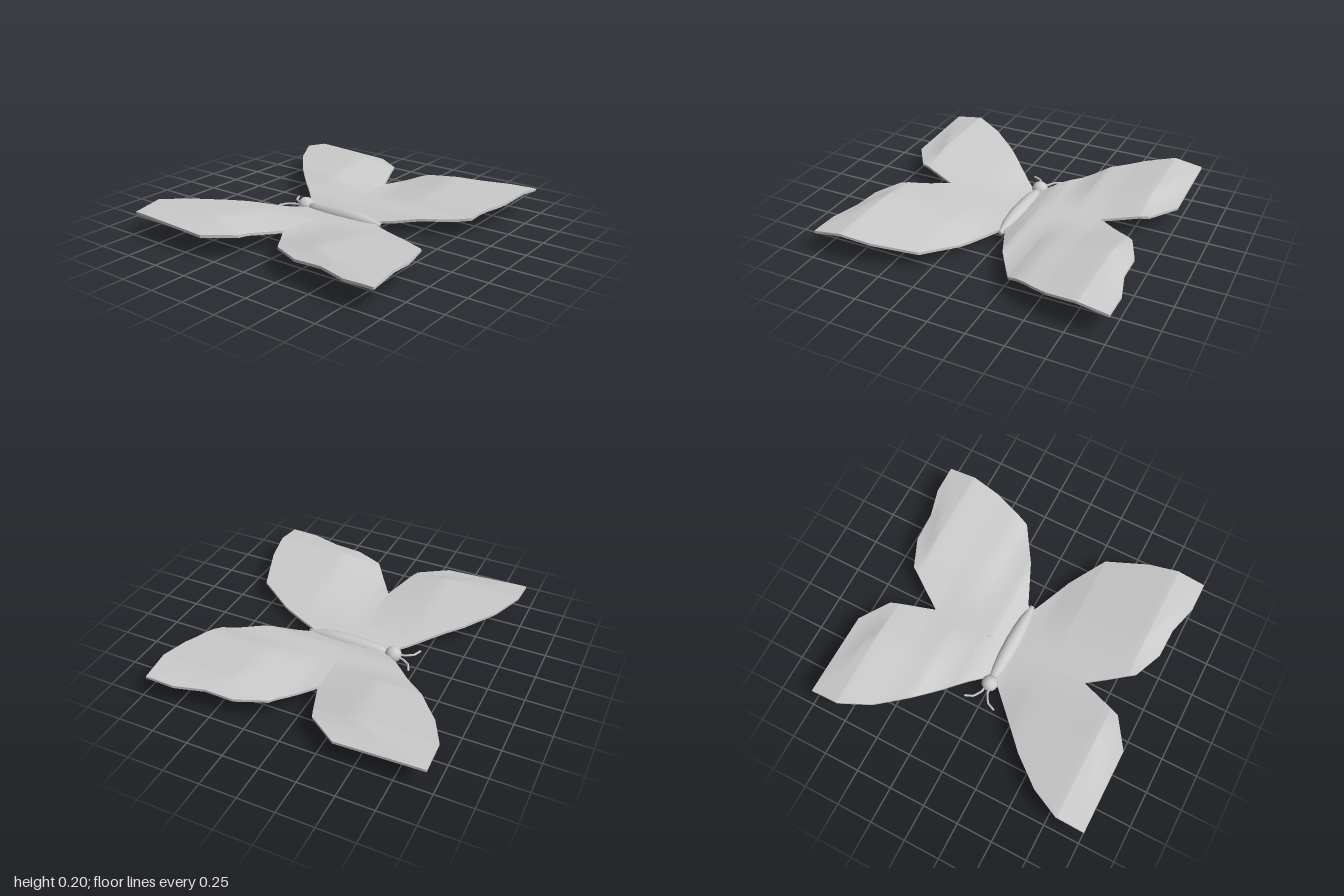
import * as THREE from 'three';

const grey = new THREE.MeshStandardMaterial({ color: 0xcccccc });
const THICK = 0.018;

// piecewise linear lookup through [x, value] points
function lerpAt(points, x) {
  for (let i = 1; i < points.length; i++) {
    const [x0, v0] = points[i - 1], [x1, v1] = points[i];
    if (x <= x1) return v0 + (v1 - v0) * (x - x0) / (x1 - x0);
  }
  return points[points.length - 1][1];
}

// wing outlines: z of each edge against distance from the body
const foreWing = {
  lead: [[0, -0.28], [0.07, -0.34], [0.2, -0.475], [0.4, -0.685], [0.6, -0.85], [0.8, -0.95], [1, -0.95]],
  trail: [[0, -0.05], [0.57, -0.05], [0.865, -0.16], [1, -0.36]],
};
const hindWing = {
  lead: [[0, -0.05], [0.57, -0.05], [0.855, 0.15], [0.94, 0.35], [0.945, 0.55], [1, 0.75]],
  trail: [[0, 0.26], [0.03, 0.3], [0.15, 0.57], [0.31, 0.82], [0.6, 0.92], [0.8, 0.95], [1, 0.95]],
};

// wing heights: a crest far from the middle, a valley along the notch
const crest = {
  1: [[0, 0.07], [0.06, 0.085], [0.14, 0.12], [0.27, 0.12], [0.4, 0.165], [0.52, 0.17], [0.8, 0.205], [1, 0.175]],
  [-1]: [[0, 0.065], [0.1, 0.07], [0.15, 0.083], [0.3, 0.125], [0.8, 0.205], [1, 0.175]],
};
const valley = {
  1: [[0, 0.07], [0.14, 0.115], [0.57, 0.12], [0.86, 0.145], [1, 0.14]],
  [-1]: [[0, 0.065], [0.14, 0.08], [0.57, 0.12], [0.86, 0.145], [1, 0.14]],
};
function wingHeight(side, x, z) {
  const reach = 0.4 + 0.5 * THREE.MathUtils.smoothstep(x, 0.8, 1);
  const k = THREE.MathUtils.clamp((Math.abs(z) - 0.05) / (reach - 0.05), 0, 1);
  return THREE.MathUtils.lerp(lerpAt(valley[side], x), lerpAt(crest[side], x), k);
}

// surface from a grid of points: rows[i][j]
function gridSurface(rows, flip) {
  const n = rows[0].length, index = [];
  for (let i = 0; i < rows.length - 1; i++) {
    for (let j = 0; j < n - 1; j++) {
      const a = i * n + j, b = a + 1, c = a + n, d = c + 1;
      index.push(...(flip ? [a, c, b, b, c, d] : [a, b, c, b, d, c]));
    }
  }
  const geo = new THREE.BufferGeometry();
  geo.setAttribute('position', new THREE.Float32BufferAttribute(rows.flat(2), 3));
  geo.setIndex(index);
  geo.computeVertexNormals();
  return geo;
}

// one thin wing: top skin, bottom skin and a rim
function makeWing(name, side, outline) {
  const knots = [...outline.lead, ...outline.trail].map(p => p[0]);
  for (let i = 0; i <= 16; i++) knots.push(i / 16);
  const xs = [...new Set(knots)].sort((a, b) => a - b);
  const rowCount = 16;
  const skin = drop => xs.map(x => {
    const z0 = lerpAt(outline.lead, x), z1 = lerpAt(outline.trail, x), row = [];
    for (let j = 0; j <= rowCount; j++) {
      const z = z0 + (z1 - z0) * j / rowCount;
      row.push([side * x, wingHeight(side, x, z) - drop, z]);
    }
    return row;
  });
  const top = skin(0), bottom = skin(THICK), mirrored = side < 0;
  const last = xs.length - 1;
  const rim = (edge, flip) => gridSurface([edge(top), edge(bottom)], flip).toNonIndexed();
  const parts = {
    Top: gridSurface(top, mirrored),
    Underside: gridSurface(bottom, !mirrored),
    LeadingRim: rim(g => g.map(r => r[0]), mirrored),
    TrailingRim: rim(g => g.map(r => r[rowCount]), !mirrored),
    TipRim: rim(g => g[last], mirrored),
  };
  const wing = new THREE.Group();
  wing.name = name;
  for (const [part, geo] of Object.entries(parts)) {
    if (part.endsWith('Rim')) geo.computeVertexNormals();
    const mesh = new THREE.Mesh(geo, grey);
    mesh.name = name + part;
    // rims are thin strips
    if (part.endsWith('Rim')) mesh.material = rimMaterial;
    wing.add(mesh);
  }
  return wing;
}
const rimMaterial = new THREE.MeshStandardMaterial({ color: 0xcccccc, side: THREE.DoubleSide });

export function createModel() {
  const model = new THREE.Group();
  model.name = 'butterfly';
  const add = (name, geo) => {
    const mesh = new THREE.Mesh(geo, grey);
    mesh.name = name;
    model.add(mesh);
    return mesh;
  };

  // tapered body, lying along z with the tail at +z
  const profile = [[0, -0.29], [0.03, -0.285], [0.043, -0.22], [0.053, -0.12], [0.057, 0], [0.053, 0.1],
    [0.043, 0.19], [0.022, 0.27], [0.018, 0.3], [0, 0.303]].map(p => new THREE.Vector2(...p));
  const body = add('body', new THREE.LatheGeometry(profile, 14));
  body.rotation.x = Math.PI / 2;
  body.position.y = 0.058;

  // head
  add('head', new THREE.SphereGeometry(0.057, 16, 12)).position.set(0, 0.065, -0.33);

  for (const side of [1, -1]) {
    const label = side > 0 ? 'left' : 'right';
    model.add(makeWing(label + 'ForeWing', side, foreWing));
    model.add(makeWing(label + 'HindWing', side, hindWing));

    // bent antenna
    const path = new THREE.CurvePath();
    const pts = [[0.015, -0.36], [0.02, -0.405], [0.055, -0.46], [0.108, -0.483]]
      .map(([x, z]) => new THREE.Vector3(side * x, 0.062, z));
    for (let i = 1; i < pts.length; i++) path.add(new THREE.LineCurve3(pts[i - 1], pts[i]));
    add(label + 'Antenna', new THREE.TubeGeometry(path, 12, 0.008, 6));
    add(label + 'AntennaTip', new THREE.SphereGeometry(0.008, 6, 4)).position.copy(pts[3]);
  }
  return model;
}
